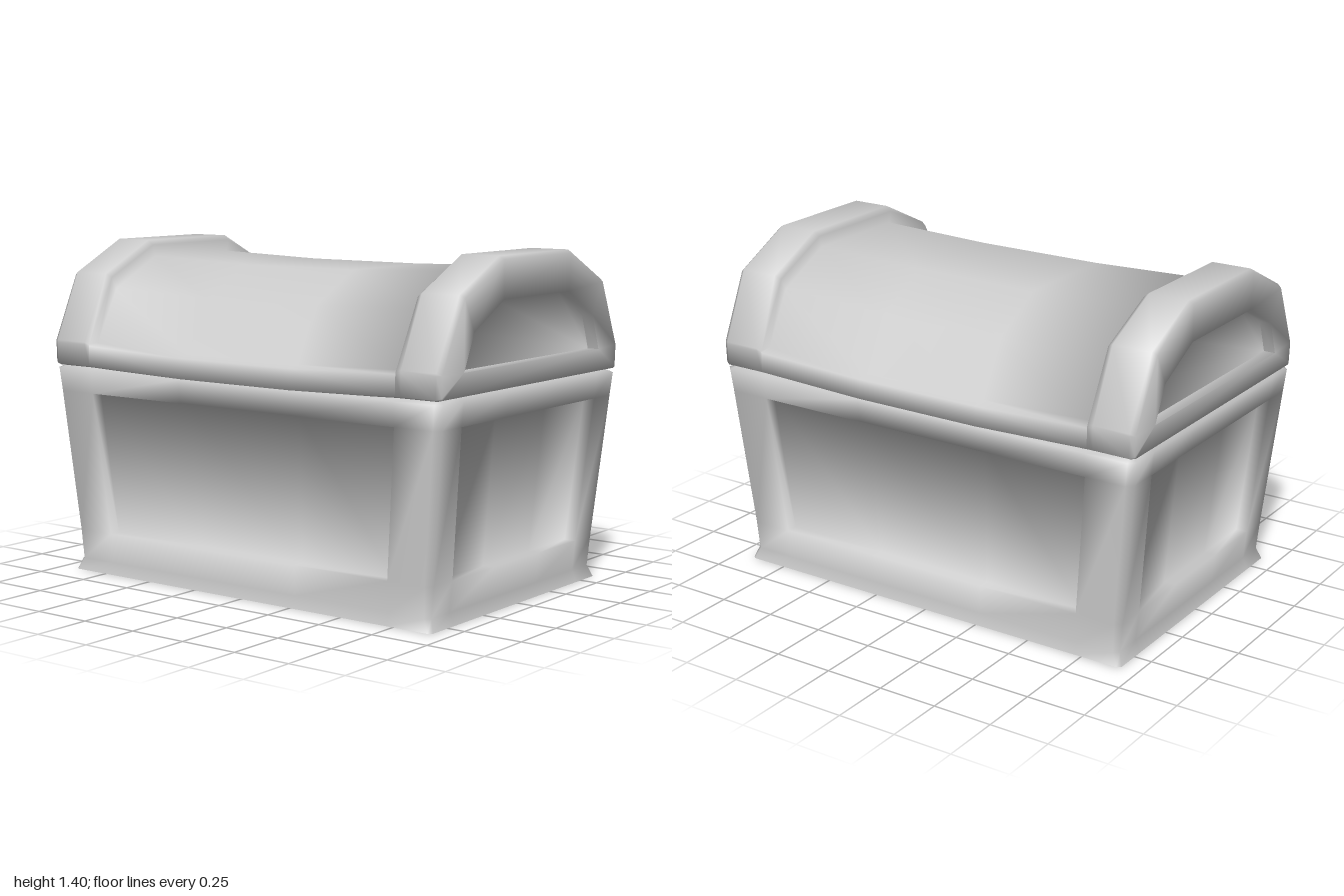
import * as THREE from 'three';
import { toCreasedNormals } from 'three/addons/utils/BufferGeometryUtils.js';

const V = (x, y, z) => new THREE.Vector3(x, y, z);
const DEPTH = 0.05; // depth of the recessed panels

// Triangle collector: skips collapsed triangles
function addTri(out, a, b, c) {
  const area = b.clone().sub(a).cross(c.clone().sub(a)).length();
  if (area > 1e-7) out.push(a, b, c);
}

function addQuad(out, a, b, c, d) {
  addTri(out, a, b, c);
  addTri(out, a, c, d);
}

// Skin between two closed loops of equal length
function loft(out, a, b, skip = () => false) {
  for (let i = 0; i < a.length; i++) {
    const j = (i + 1) % a.length;
    if (!skip(i)) addQuad(out, a[i], a[j], b[j], b[i]);
  }
}

function cap(out, loop, flip = false) {
  const p = flip ? [...loop].reverse() : loop;
  for (let i = 1; i < p.length - 1; i++) addTri(out, p[0], p[i], p[i + 1]);
}

// Right angles are shaded soft as well, like a worn, rounded edge
function makeMesh(name, tris) {
  const geometry = toCreasedNormals(new THREE.BufferGeometry().setFromPoints(tris), 1.75);
  const mesh = new THREE.Mesh(geometry, new THREE.MeshStandardMaterial({ color: 0xcccccc }));
  mesh.name = name;
  return mesh;
}

// Body: chamfered rectangular rings, with a recessed panel in each side
function makeBody() {
  const group = new THREE.Group();
  group.name = 'body';
  // y, half width, half depth, opening half width, opening half depth, chamfer
  const rows = [
    [0, 0.925, 0.615, 0.72, 0.46, 0.015],
    [0.05, 0.905, 0.602, 0.72, 0.46, 0.02],
    [0.175, 0.917, 0.61, 0.72, 0.46, 0.025],
    [0.775, 0.975, 0.648, 0.775, 0.495, 0.025],
    [0.872, 0.985, 0.655, 0.775, 0.495, 0.025],
    [0.888, 0.955, 0.63, 0.775, 0.495, 0.025],
  ];
  const rings = rows.map(([y, hx, hz, ox, oz, c]) => {
    const steps = (h, o) => [-h + c, -o, -o * 0.37, o * 0.37, o, h - c];
    const xs = steps(hx, ox), zs = steps(hz, oz);
    return [
      ...xs.map(x => V(x, y, hz)), ...zs.map(z => V(hx, y, -z)),
      ...xs.map(x => V(-x, y, -hz)), ...zs.map(z => V(-hx, y, z)),
    ];
  });

  const tris = [];
  for (let r = 0; r < rings.length - 1; r++) {
    loft(tris, rings[r], rings[r + 1], i => r === 2 && i % 6 >= 1 && i % 6 <= 3);
  }
  cap(tris, rings[rings.length - 1]);

  // Recessed panels: walls around the opening and a floor in three strips
  [[0, 1], [1, 0], [0, -1], [-1, 0]].forEach(([nx, nz], k) => {
    const rim = [2, 3].map(r => rings[r].slice(k * 6 + 1, k * 6 + 5));
    const floor = rim.map(row => row.map(p => p.clone().add(V(-nx * DEPTH, 0, -nz * DEPTH))));
    const border = ([low, high]) => [...low, ...[...high].reverse()];
    loft(tris, border(rim), border(floor));
    const [low, high] = floor;
    for (let c = 0; c < 3; c++) {
      if (nz) addQuad(tris, low[c + 1], high[c + 1], high[c], low[c]);
      else addQuad(tris, low[c], low[c + 1], high[c + 1], high[c]);
    }
  });

  const base = [];
  cap(base, rings[0], true);
  group.add(makeMesh('bodyShell', tris), makeMesh('base', base));
  return group;
}

// Lid: one skin lofted along x through two end ribs and a sagging barrel
function makeLid() {
  // Half profiles as [z, y], from the lower edge up to the crown
  const rib = [[0.64, 0.885], [0.655, 0.892], [0.655, 0.98], [0.655, 0.99], [0.52, 1.27], [0.255, 1.40]];
  const ribInner = [[0.64, 0.885], [0.655, 0.892], [0.655, 0.98], [0.652, 0.985], [0.51, 1.255], [0.25, 1.38]];
  const ribOuter = [[0.635, 0.89], [0.643, 0.897], [0.643, 0.98], [0.643, 0.987], [0.51, 1.258], [0.25, 1.387]];
  const barrel = [[0.64, 0.885], [0.655, 0.892], [0.655, 0.975], [0.6, 0.985], [0.482, 1.205], [0.238, 1.332]];
  const opening = [[0.5, 0.98], [0.5, 0.98], [0.5, 0.98], [0.5, 0.98], [0.44, 1.125], [0.24, 1.235]];

  // The end faces lean outward slightly towards the top
  const lean = y => 0.015 * (y - 1.4) / 0.5;
  const loopAt = (half, x, sag = 0) => {
    const px = y => (Math.abs(x) > 0.85 ? x + Math.sign(x) * lean(y) : x);
    return [
      ...half.map(([z, y]) => V(px(y), y - sag, -z)),
      ...[...half].reverse().map(([z, y]) => V(px(y), y - sag, z)),
    ];
  };

  // From the recessed end panel inwards to the middle of the barrel
  const stations = [
    [opening, 1 - DEPTH], [opening, 1.0], [ribOuter, 1.0], [rib, 0.98], [rib, 0.81],
    [ribInner, 0.785], [barrel, 0.785], [barrel, 0.28, 0.016],
  ];
  const loops = [
    ...stations.map(([p, x, s]) => loopAt(p, -x, s)),
    ...[...stations].reverse().map(([p, x, s]) => loopAt(p, x, s)),
  ];
  const tris = [];
  cap(tris, loops[0], true);
  for (let i = 0; i < loops.length - 1; i++) loft(tris, loops[i], loops[i + 1]);
  cap(tris, loops[loops.length - 1]);
  return makeMesh('lid', tris);
}

export function createModel() {
  const chest = new THREE.Group();
  chest.name = 'chest';
  chest.add(makeBody(), makeLid());
  return chest;
}
